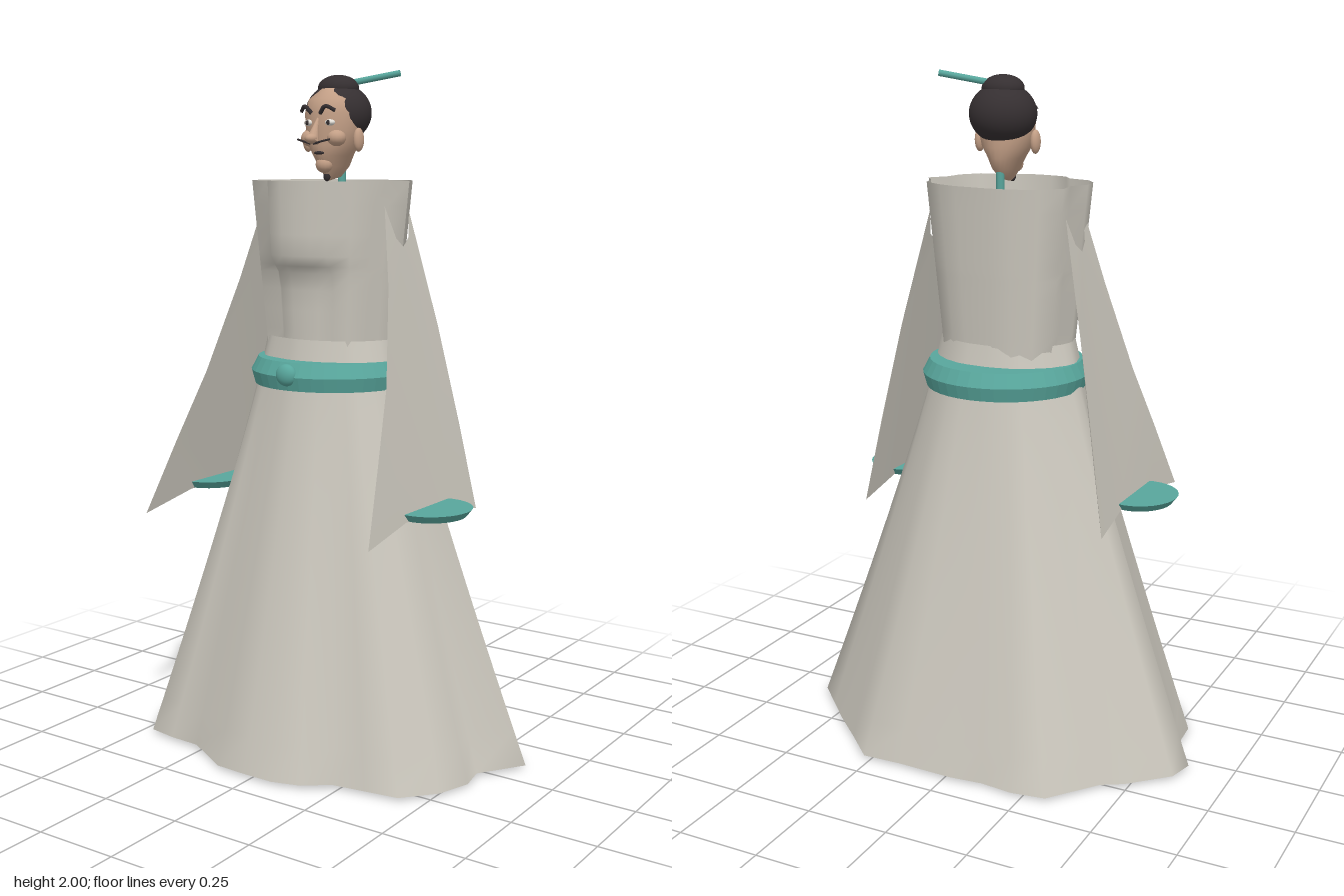
import * as THREE from 'three';

const mat = (name, color, side = THREE.FrontSide) => {
  const m = new THREE.MeshStandardMaterial({ color, side });
  m.name = name;
  return m;
};

// Closed rings of [x, y, z] points joined by quads, bottom ring first
function loft(rings) {
  const n = rings[0].length, index = [];
  for (let r = 0; r < rings.length - 1; r++) {
    for (let i = 0; i < n; i++) {
      const a = r * n + i, b = r * n + (i + 1) % n;
      index.push(a, a + n, b, b, a + n, b + n);
    }
  }
  const g = new THREE.BufferGeometry();
  g.setAttribute('position', new THREE.Float32BufferAttribute(rings.flat(2), 3));
  g.setIndex(index);
  g.computeVertexNormals();
  return g;
}

const lerp = THREE.MathUtils.lerp;

export function createModel() {
  const group = new THREE.Group();
  const robe = mat('robe grey', 0xcbc7bd, THREE.DoubleSide);
  const teal = mat('teal', 0x58a69c);
  const hair = mat('hair black', 0x352f31);
  const skin = mat('skin', 0xc39f86, THREE.DoubleSide);
  const shoe = mat('shoe black', 0x1f1d1d);
  const white = mat('eye white', 0xe4e0d8);

  const add = (name, geo, material, pos = [0, 0, 0], scale = [1, 1, 1]) => {
    const m = new THREE.Mesh(geo, material);
    m.name = name;
    m.position.set(...pos);
    m.scale.set(...scale);
    group.add(m);
    return m;
  };
  const ball = (name, material, pos, scale, seg = 24) =>
    add(name, new THREE.SphereGeometry(1, seg, Math.ceil(seg * 0.7)), material, pos, scale);
  const rod = (name, material, a, b, r) => {
    const path = new THREE.LineCurve3(new THREE.Vector3(...a), new THREE.Vector3(...b));
    const dir = path.v2.clone().sub(path.v1);
    const m = add(name, new THREE.CylinderGeometry(r, r, dir.length(), 10), material);
    m.position.copy(path.getPoint(0.5));
    m.quaternion.setFromUnitVectors(new THREE.Vector3(0, 1, 0), dir.normalize());
  };
  const strand = (name, pts, r) => add(name, new THREE.TubeGeometry(
    new THREE.CatmullRomCurve3(pts.map(p => new THREE.Vector3(...p))), 12, r, 6), hair);

  // Skirt: wavy hem narrowing to an oval waist
  const hem = [
    [0.62, -0.09], [0.53, 0.04], [0.545, 0.12], [0.51, 0.22], [0.43, 0.31], [0.33, 0.325],
    [0.23, 0.34], [0.16, 0.395], [0.075, 0.42], [-0.02, 0.42], [-0.12, 0.415], [-0.27, 0.33],
    [-0.37, 0.325], [-0.46, 0.31], [-0.54, 0.17], [-0.55, 0.02], [-0.62, -0.05], [-0.6, -0.13],
    [-0.49, -0.235], [-0.43, -0.27], [-0.32, -0.41], [-0.22, -0.425], [-0.12, -0.415],
    [-0.02, -0.425], [0.15, -0.42], [0.27, -0.425], [0.36, -0.34], [0.46, -0.25], [0.54, -0.17]];
  const skirtRings = [];
  for (let k = 0; k <= 12; k++) {
    const t = k / 12, s = 1 - Math.pow(1 - t, 1.1);
    skirtRings.push(hem.map(([x, z]) => {
      const a = Math.atan2(z / 0.42, x / 0.58);
      return [lerp(x, 0.205 * Math.cos(a), s), lerp(0.01, 1.24, t), lerp(z, 0.155 * Math.sin(a), s)];
    }));
  }
  add('skirt', loft(skirtRings), robe);

  // Bodice: open collar above, with a fold over the chest
  const collar = [
    [0.25, -0.02], [0.215, 0.03], [0.205, 0.09], [0.165, 0.145], [0.1, 0.17], [0.05, 0.185],
    [0, 0.195], [-0.05, 0.19], [-0.1, 0.18], [-0.13, 0.14], [-0.2, 0.12], [-0.23, 0.08],
    [-0.24, 0.02], [-0.21, -0.03], [-0.22, -0.1], [-0.17, -0.15], [-0.1, -0.18], [-0.03, -0.185],
    [0.08, -0.175], [0.14, -0.155], [0.2, -0.12], [0.22, -0.06]];
  const bodiceRings = [1.2, 1.26, 1.32, 1.38, 1.43, 1.45, 1.48, 1.54, 1.62, 1.69].map(y => {
    const t = (y - 1.2) / 0.49;
    const fold = THREE.MathUtils.smoothstep(y, 1.41, 1.48);
    return collar.map(([x, z]) => {
      const chest = z > 0.1 && Math.abs(x) < 0.14;
      const depth = chest ? lerp(lerp(0.7, 0.78, t), lerp(0.94, 1, t), fold) : lerp(0.82, 1, t);
      return [x * lerp(0.8, 1, t), y, z * depth];
    });
  });
  add('bodice', loft(bodiceRings), robe);

  // Belt with a round clasp
  const beltProfile = [[0, 1.1], [0.235, 1.1], [0.246, 1.14], [0.225, 1.18], [0, 1.18]]
    .map(p => new THREE.Vector2(...p));
  const beltGeo = new THREE.LatheGeometry(beltProfile, 40).toNonIndexed();
  beltGeo.computeVertexNormals();
  add('belt', beltGeo, teal, [0, 0, -0.012]);
  ball('beltClasp', teal, [-0.005, 1.145, 0.224], [0.034, 0.032, 0.022]);

  for (const s of [1, -1]) {
    const side = s > 0 ? 'left' : 'right';

    // Sleeve: flat hanging cloth with a notched shoulder
    const outline = [
      [0.4, 0.725], [0.2, 0.762], [-0.03, 0.765], [-0.19, 0.728], [-0.16, 0.98], [-0.125, 1.27],
      [-0.075, 1.605], [-0.045, 1.53], [-0.01, 1.505], [0.02, 1.53], [0.05, 1.62],
      [0.105, 1.4], [0.2, 1.13], [0.3, 0.93]].map(p => new THREE.Vector2(...p));
    const sleeve = new THREE.ShapeGeometry(new THREE.Shape(outline));
    const p = sleeve.attributes.position;
    for (let i = 0; i < p.count; i++) {
      const z = p.getX(i), y = p.getY(i), t = (y - 0.725) / 0.895;
      p.setXYZ(i, s * (lerp(0.388, 0.212, t) + 0.03 * t * (1 - t)), y, z);
    }
    sleeve.computeVertexNormals();
    add(side + 'Sleeve', sleeve, robe);

    // Oval hand plate
    add(side + 'HandPlate', new THREE.CylinderGeometry(0.115, 0.098, 0.022, 32), teal,
      [s * 0.393, 0.774, 0.08], [1, 1, 1.08]);

    // Shoe: long toe and heel
    ball(side + 'ShoeToe', shoe, [s * 0.1, 0.025, 0.065], [0.034, 0.025, 0.06], 16);
    add(side + 'ShoeHeel', new THREE.CylinderGeometry(0.026, 0.03, 0.05, 14), shoe,
      [s * 0.095, 0.026, -0.015], [1, 1, 1.3]);

    // Ear, eye, brow and moustache
    ball(side + 'Ear', skin, [s * 0.088, 1.805, -0.005], [0.014, 0.034, 0.02], 14);
    ball(side + 'Eye', white, [s * 0.036, 1.853, 0.064], [0.016, 0.009, 0.012], 12);
    ball(side + 'Pupil', hair, [s * 0.036, 1.853, 0.074], [0.006, 0.007, 0.004], 10);
    ball(side + 'Cheek', skin, [s * 0.045, 1.81, 0.045], [0.028, 0.024, 0.028], 14);
    strand(side + 'Brow', [[s * 0.014, 1.878, 0.082], [s * 0.035, 1.898, 0.086],
      [s * 0.058, 1.886, 0.07]], 0.006);
    strand(side + 'Moustache', [[s * 0.004, 1.793, 0.1], [s * 0.03, 1.8, 0.1],
      [s * 0.056, 1.806, 0.092]], 0.003);
  }

  // Head: oval sections [y, half width, front z, back z]
  const headRings = [
    [1.69, 0.002, 0.016, 0.01], [1.7, 0.016, 0.03, -0.04], [1.73, 0.036, 0.05, -0.07],
    [1.76, 0.05, 0.066, -0.08], [1.79, 0.07, 0.072, -0.085], [1.83, 0.08, 0.072, -0.085],
    [1.88, 0.082, 0.074, -0.08], [1.92, 0.07, 0.064, -0.07], [1.95, 0.03, 0.03, -0.04]
  ].map(([y, w, f, b]) => Array.from({ length: 24 }, (_, i) => {
    const a = i / 24 * Math.PI * 2;
    return [w * Math.cos(a), y, (f + b) / 2 + (f - b) / 2 * Math.sin(a)];
  }));
  add('head', loft(headRings), skin);
  const nose = add('nose', new THREE.ConeGeometry(0.02, 0.085, 12), skin, [0, 1.838, 0.083]);
  nose.rotation.x = -0.42;
  ball('noseTip', skin, [0, 1.808, 0.105], [0.018, 0.014, 0.022], 14);
  ball('mouth', hair, [0, 1.768, 0.067], [0.018, 0.005, 0.006], 12);
  ball('chin', skin, [0, 1.735, 0.04], [0.026, 0.024, 0.024], 14);
  ball('beard', hair, [0, 1.703, 0.027], [0.011, 0.016, 0.009], 12);

  // Hair, bun and hairpin
  ball('hair', hair, [0, 1.882, -0.033], [0.097, 0.085, 0.094], 32);
  ball('hairBun', hair, [0, 1.952, -0.032], [0.062, 0.038, 0.055]);
  rod('hairpin', teal, [0.03, 1.967, -0.05], [0.167, 1.993, -0.1], 0.009);

  // Post holding the head up from the belt
  rod('headPost', teal, [0, 1.17, -0.05], [0, 1.78, -0.05], 0.012);

  return group;
}
